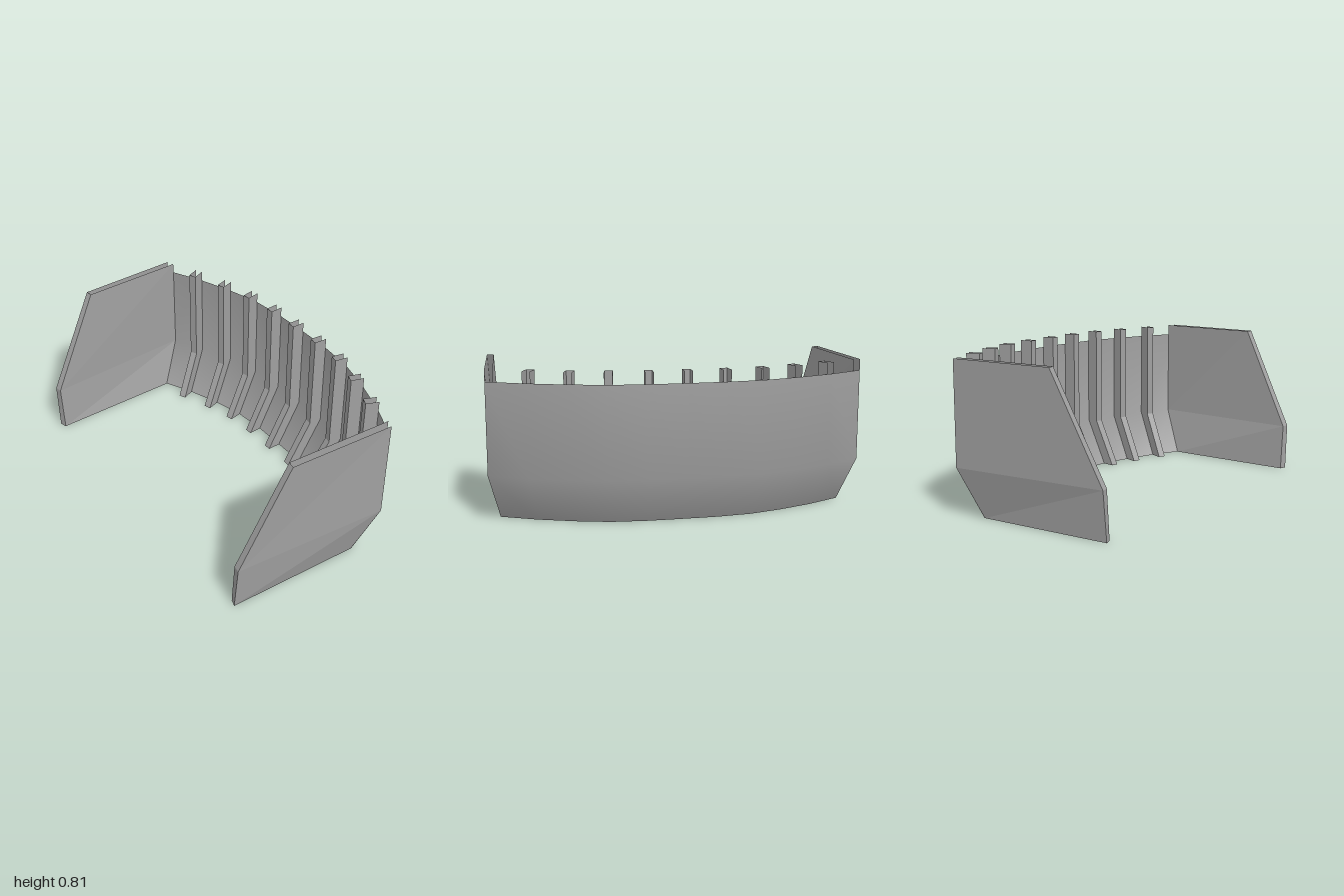
import * as THREE from 'three';

const steel = new THREE.MeshStandardMaterial({ color: 0xa0a0a0, side: THREE.DoubleSide });
steel.name = 'grey steel';
const flatSteel = steel.clone();
flatSteel.flatShading = true;

const TOP = 0.805, SHEET_TOP = 0.745, BEND = 0.255, SLOPE = 0.14;

// Half of the curved back in plan: x, z and the angle its inward normal leans to the centre.
const plan = [
  [0, -0.555, 0], [0.2, -0.553, 4], [0.405, -0.533, 11],
  [0.6, -0.48, 18], [0.8, -0.407, 23], [1, -0.31, 27],
].map(([x, z, deg]) => ({ x, z, a: THREE.MathUtils.degToRad(deg) }));

// Both halves, running from -x to +x.
const stations = [
  ...plan.slice(1).reverse().map(({ x, z, a }) => ({ x: -x, z, a: -a })),
  ...plan,
];

// Point at height y, moved inward by d and along the curve by s.
function place({ x, z, a }, y, d, s = 0) {
  return [
    x - d * Math.sin(a) + s * Math.cos(a),
    y,
    z + d * Math.cos(a) + s * Math.sin(a),
  ];
}

// Surface through rows of points, each row running the same way.
function loft(rows) {
  const n = rows[0].length, index = [];
  for (let r = 0; r < rows.length - 1; r++) {
    for (let c = 0; c < n - 1; c++) {
      const a = r * n + c, b = a + n;
      index.push(a, a + 1, b + 1, a, b + 1, b);
    }
  }
  const g = new THREE.BufferGeometry();
  g.setAttribute('position', new THREE.Float32BufferAttribute(rows.flat(2), 3));
  g.setIndex(index);
  g.computeVertexNormals();
  return g;
}

function addMesh(parent, name, geometry, material) {
  const mesh = new THREE.Mesh(geometry, material);
  mesh.name = name;
  parent.add(mesh);
}

export function createModel() {
  const model = new THREE.Group();
  model.name = 'curvedBlade';

  // Curved back sheet: upright above the bend, sloping forward below it.
  const levels = [[0, SLOPE], [BEND, 0], [SHEET_TOP, 0]];
  addMesh(model, 'backSheet',
    loft(levels.map(([y, d]) => stations.map((p) => place(p, y, d)))), steel);

  // Ribs: open channels (side, front, side) following the sheet.
  const ribs = new THREE.Group();
  ribs.name = 'ribs';
  model.add(ribs);
  const channel = [[0.003, -0.021], [0.075, -0.021], [0.075, 0.021], [0.003, 0.021]];
  const ribLevels = [[0, SLOPE], [BEND, 0], [TOP, 0]];
  for (const p of stations.slice(1, -1)) {
    const rows = ribLevels.map(([y, d]) => channel.map(([depth, s]) => place(p, y, d + depth, s)));
    addMesh(ribs, 'rib', loft(rows), flatSteel);
  }

  // End panels: each row runs outer back, outer front, inner front, inner back.
  const panelRows = [
    [[0.935, 0, -0.185], [0.908, 0, 0.555], [0.87, 0, 0.543], [0.893, 0, -0.205]],
    [[1, BEND, -0.31], [0.93, BEND, 0.55], [0.89, BEND, 0.543], [0.96, BEND, -0.325]],
    [[1, TOP, -0.31], [0.967, TOP, 0.27], [0.93, TOP, 0.265], [0.96, TOP, -0.325]],
  ];
  for (const [name, side] of [['leftPanel', 1], ['rightPanel', -1]]) {
    const rows = panelRows.map((row) => {
      const points = row.map(([x, y, z]) => [side * x, y, z]);
      return side > 0 ? points.reverse() : points;
    });
    addMesh(model, name, loft(rows), flatSteel);
  }

  return model;
}
